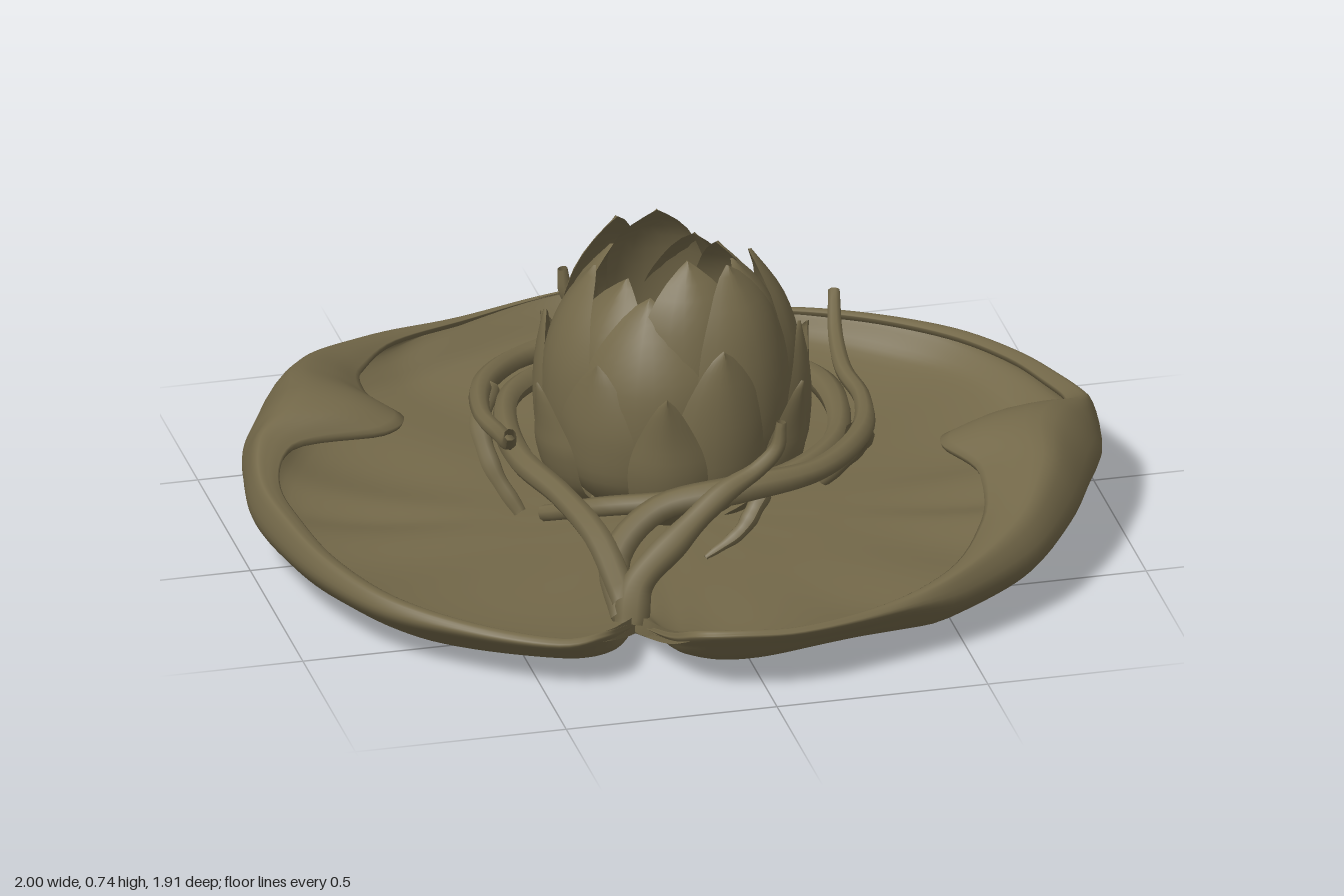
import * as THREE from 'three';

const V = (x, y, z) => new THREE.Vector3(x, y, z);

// Grid surface from a function (i, j) -> Vector3
function gridGeometry(nu, nv, at) {
  const pos = [], idx = [];
  for (let i = 0; i <= nu; i++) {
    for (let j = 0; j <= nv; j++) {
      pos.push(...at(i, j).toArray());
      if (i < nu && j < nv) {
        const a = i * (nv + 1) + j, b = a + nv + 1;
        idx.push(a, a + 1, b, b, a + 1, b + 1);
      }
    }
  }
  const g = new THREE.BufferGeometry();
  g.setAttribute('position', new THREE.Float32BufferAttribute(pos, 3));
  g.setIndex(idx);
  g.computeVertexNormals();
  return g;
}

// Half pad rim, back notch to front notch: x, z, rim height, inward curl
const RIM = [
  [0.225, -0.56, 0.04, 0.02], [0.29, -0.70, 0.10, 0.02], [0.36, -0.80, 0.14, 0.025],
  [0.47, -0.815, 0.14, 0.03], [0.65, -0.715, 0.15, 0.035], [0.82, -0.555, 0.165, 0.045],
  [0.925, -0.355, 0.185, 0.05], [0.98, -0.15, 0.21, 0.06], [1.0, 0.0, 0.235, 0.07],
  [0.985, 0.13, 0.28, 0.12], [0.96, 0.23, 0.315, 0.33], [0.91, 0.34, 0.32, 0.35],
  [0.83, 0.50, 0.29, 0.23], [0.70, 0.67, 0.24, 0.15], [0.50, 0.80, 0.195, 0.06],
  [0.30, 0.88, 0.17, 0.03], [0.08, 0.945, 0.17, 0.02], [-0.08, 0.95, 0.18, 0.02],
  [-0.17, 0.91, 0.17, 0.02], [-0.205, 0.80, 0.12, 0.02], [-0.225, 0.56, 0.04, 0.02],
];

function leafGeometry() {
  const rim = new THREE.CatmullRomCurve3(RIM.map(p => V(p[0], p[2], p[1])), false, 'catmullrom', 0.5);
  const curl = new THREE.CatmullRomCurve3(RIM.map(p => V(p[3], 0, 0)), false, 'catmullrom', 0.4);
  const NU = 120, NS = 32, sections = [];
  const mix = THREE.MathUtils.lerp;
  for (let i = 0; i <= NU; i++) {
    const t = i / NU, p = rim.getPoint(t), c = curl.getPoint(t).x;
    const R = Math.hypot(p.x, p.z), h = p.y;
    // curled stretches bulge, the others slope up to a thin edge
    const b = THREE.MathUtils.smoothstep(c, 0.015, 0.06);
    // shallow radial veins
    const vein = 0.007 * Math.sin(Math.PI * t) * Math.sin(t * 50);
    const spine = new THREE.SplineCurve([
      [0, 0.01], [R * 0.4, 0.008], [R * 0.7, 0.015 + vein], [R - 0.1, mix(0.38 * h, 0.025 + h * 0.1, b) + vein],
      [R - 0.03, mix(0.74 * h, 0.03 + h * 0.3, b)], [R, mix(0.93 * h, 0.03 + h * 0.55, b)],
      [R - 0.25 * c, h - 0.005], [R - 0.65 * c, h - 0.04 * c], [R - c, h - 0.2 * c],
    ].map(q => new THREE.Vector2(...q)));
    const outer = [], inner = [];
    for (let j = 0; j <= NS; j++) {
      const s = j / NS, q = spine.getPoint(s), d = spine.getTangent(s);
      const th = 0.032 - 0.018 * s;
      outer.push(q);
      inner.unshift(new THREE.Vector2(Math.max(0, q.x - d.y * th), q.y + d.x * th));
    }
    sections.push({ x: p.x / R, z: p.z / R, pts: outer.concat(inner) });
  }
  return gridGeometry(NU, NS * 2 + 1, (i, j) => {
    const s = sections[i], q = s.pts[j];
    return V(s.x * q.x, q.y, s.z * q.x);
  });
}

// Pointed cupped petal following a (radius, height) spine
function petalGeometry(spinePts, width, angle) {
  const spine = new THREE.SplineCurve(spinePts.map(q => new THREE.Vector2(...q)));
  return gridGeometry(16, 8, (i, j) => {
    const s = i / 16, t = j / 4 - 1, q = spine.getPoint(s);
    const w = width * (s < 0.5 ? 0.65 + 0.35 * Math.sin(Math.PI * s) : Math.cos((s - 0.5) * Math.PI));
    const a = angle + t * w / Math.max(q.x, 0.19);
    const r = q.x - 0.02 * t * t * (w / width) + 0.008 * (1 - Math.abs(t)) * s;
    return V(Math.cos(a) * r, q.y, Math.sin(a) * r);
  });
}

// Tube that tapers from r0 to r1
function vineGeometry(points, r0, r1) {
  const curve = new THREE.CatmullRomCurve3(points.map(p => V(...p)));
  const n = 48, m = 8, g = new THREE.TubeGeometry(curve, n, r0, m, false), pos = g.attributes.position;
  const v = V(0, 0, 0);
  for (let i = 0; i <= n; i++) {
    const u = i / n, c = curve.getPointAt(u);
    const k = (1 + (r1 / r0 - 1) * Math.pow(u, 1.6)) * (1 + 0.06 * Math.sin(u * 23));
    for (let j = 0; j <= m; j++) {
      const id = i * (m + 1) + j;
      v.fromBufferAttribute(pos, id).sub(c).multiplyScalar(k).add(c);
      pos.setXYZ(id, v.x, v.y, v.z);
    }
  }
  g.computeVertexNormals();
  return g;
}

export function createModel() {
  const model = new THREE.Group();
  model.name = 'waterLily';
  const olive = new THREE.MeshStandardMaterial({ color: 0x736849, side: THREE.DoubleSide });
  olive.name = 'olive';
  const add = (parent, name, geo) => {
    const mesh = new THREE.Mesh(geo, olive);
    mesh.name = name;
    parent.add(mesh);
    return mesh;
  };

  // Two matching halves: leaf and vines
  const leaf = leafGeometry();
  const vines = {
    // root climbing off the notch to an upright thorn
    rootVine: vineGeometry([[-0.24, 0.05, 0.58], [-0.22, 0.13, 0.55], [-0.12, 0.22, 0.52], [0, 0.31, 0.485],
      [0.09, 0.355, 0.465], [0.135, 0.4, 0.46], [0.145, 0.465, 0.46]], 0.04, 0.012),
    // long vine sweeping round to a raised tip
    ringVine: vineGeometry([[-0.25, 0.06, 0.56], [-0.25, 0.16, 0.46], [-0.14, 0.25, 0.41], [0.05, 0.29, 0.43],
      [0.25, 0.295, 0.38], [0.39, 0.305, 0.23], [0.435, 0.31, 0.06], [0.425, 0.32, -0.07],
      [0.435, 0.355, -0.19], [0.455, 0.42, -0.285]], 0.035, 0.015),
    // thinner inner vine circling the other way
    innerVine: vineGeometry([[-0.25, 0.1, 0.56], [-0.28, 0.2, 0.44], [-0.33, 0.25, 0.29], [-0.385, 0.27, 0.12],
      [-0.38, 0.28, -0.06], [-0.33, 0.28, -0.21], [-0.22, 0.27, -0.32], [-0.05, 0.26, -0.375],
      [0.1, 0.25, -0.37], [0.25, 0.22, -0.3], [0.35, 0.16, -0.18]], 0.032, 0.02),
    // arching side shoot
    sideShoot: vineGeometry([[0.38, 0.3, 0.22], [0.42, 0.25, 0.14], [0.41, 0.17, 0.06], [0.36, 0.08, 0]], 0.026, 0.016),
    thorn: vineGeometry([[0.12, 0.25, 0.38], [0.06, 0.18, 0.42], [-0.03, 0.13, 0.44]], 0.024, 0.006),
  };
  for (let k = 0; k < 2; k++) {
    const half = new THREE.Group();
    half.name = k ? 'rightHalf' : 'leftHalf';
    half.rotation.y = k * Math.PI;
    add(half, 'leaf', leaf);
    for (const name in vines) add(half, name, vines[name]);
    model.add(half);
  }

  // Bud: rounded base seen through the open top, rings of overlapping petals
  const bud = new THREE.Group();
  bud.name = 'bud';
  const base = add(bud, 'budBase', new THREE.SphereGeometry(0.22, 24, 12));
  base.position.y = 0.19;
  base.scale.y = 0.55;
  const rings = [
    { name: 'innerPetal', n: 6, w: 0.16, turn: 0.52, spine: [[0.15, 0.13], [0.25, 0.28], [0.265, 0.46], [0.225, 0.61], [0.14, 0.715]] },
    { name: 'middlePetal', n: 6, w: 0.165, turn: 0, spine: [[0.17, 0.12], [0.285, 0.26], [0.3, 0.43], [0.26, 0.58], [0.18, 0.7]] },
    { name: 'outerPetal', n: 6, w: 0.13, turn: 0.35, spine: [[0.19, 0.11], [0.295, 0.21], [0.318, 0.32], [0.312, 0.44], [0.29, 0.55]] },
    { name: 'lowPetal', n: 6, w: 0.1, turn: 0.8, spine: [[0.2, 0.1], [0.3, 0.18], [0.335, 0.27], [0.34, 0.36], [0.35, 0.47]] },
  ];
  for (const { name, n, w, turn, spine } of rings) {
    for (let i = 0; i < n; i++) {
      // slight variety, repeating every half turn
      const vary = 1 + 0.05 * Math.sin((i % (n / 2)) * 2.3 + n);
      const pts = spine.map(([r, y], k) => [r, k > 2 ? Math.min(y * vary, 0.745) : y]);
      add(bud, name, petalGeometry(pts, w, turn + i * Math.PI * 2 / n));
    }
  }
  model.add(bud);
  return model;
}
